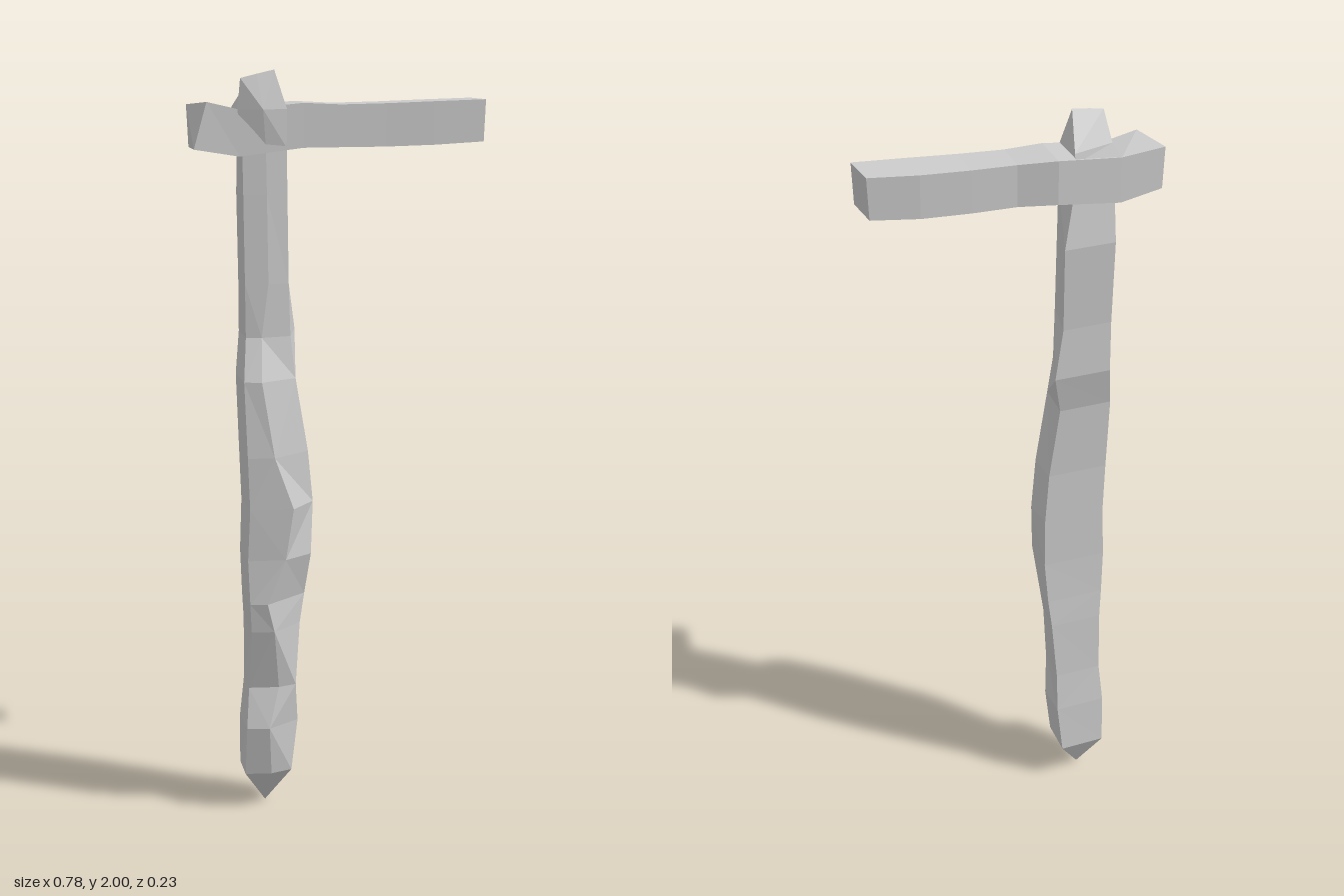
import * as THREE from 'three';

const material = new THREE.MeshStandardMaterial({ color: 0xcccccc, flatShading: true });

// Skin a list of rings (arrays of [x, y, z], counter-clockwise seen from the far end) with closed ends
function loft(name, rings) {
  const pos = [];
  const tri = (a, b, c) => {
    const [A, B, C] = [a, b, c].map((p) => new THREE.Vector3(...p));
    if (B.clone().sub(A).cross(C.clone().sub(A)).length() > 1e-7) pos.push(...a, ...b, ...c);
  };
  const n = rings[0].length;
  for (let i = 0; i < rings.length - 1; i++) {
    for (let j = 0; j < n; j++) {
      const k = (j + 1) % n;
      const a = rings[i][j], b = rings[i][k], c = rings[i + 1][k], d = rings[i + 1][j];
      // alternate the diagonal for a hewn look
      if ((i + j) % 2) { tri(a, b, c); tri(a, c, d); } else { tri(a, b, d); tri(b, c, d); }
    }
  }
  const last = rings[rings.length - 1];
  for (let j = 1; j < n - 1; j++) {
    tri(rings[0][0], rings[0][j + 1], rings[0][j]);
    tri(last[0], last[j], last[j + 1]);
  }
  const geometry = new THREE.BufferGeometry();
  geometry.setAttribute('position', new THREE.Float32BufferAttribute(pos, 3));
  geometry.computeVertexNormals();
  const mesh = new THREE.Mesh(geometry, material);
  mesh.name = name;
  return mesh;
}

// Rough upright: five-sided sections with a front ridge and a right-hand ridge
function makePost() {
  // y, left x, front ridge x, front z, right x, right ridge z, back right x, back z
  const sections = [
    [0.10, -0.27, -0.20, 0.04, -0.14, 0.02, -0.14, -0.09],
    [0.24, -0.27, -0.21, 0.07, -0.12, 0.01, -0.125, -0.085],
    [0.35, -0.26, -0.18, 0.05, -0.13, 0.035, -0.125, -0.075],
    [0.52, -0.26, -0.20, 0.095, -0.115, 0.02, -0.11, -0.07],
    [0.60, -0.265, -0.22, 0.105, -0.10, 0.01, -0.10, -0.065],
    [0.72, -0.27, -0.17, 0.105, -0.09, 0.05, -0.09, -0.06],
    [0.86, -0.265, -0.15, 0.115, -0.08, 0.03, -0.09, -0.06],
    [1.00, -0.27, -0.20, 0.115, -0.095, 0.04, -0.10, -0.06],
    [1.20, -0.275, -0.23, 0.10, -0.13, 0.05, -0.125, -0.07],
    [1.31, -0.26, -0.22, 0.05, -0.14, 0.035, -0.10, -0.10],
    [1.45, -0.26, -0.20, 0.045, -0.145, 0.04, -0.12, -0.10],
    [1.68, -0.26, -0.20, 0.033, -0.145, 0.03, -0.115, -0.117],
    [1.80, -0.26, -0.20, 0.025, -0.145, 0.025, -0.14, -0.10],
    [1.90, -0.275, -0.21, 0.042, -0.145, 0.03, -0.145, -0.10],
  ];
  const rings = sections.map(([y, xl, xm, zf, xr, zr, xb, zb]) => [
    [xl, y, zf - 0.012], [xm, y, zf], [xr, y, zr], [xb, y, zb], [xl + 0.005, y, zb + 0.012],
  ]);
  // sharpened foot and sloping head
  rings.unshift(Array(5).fill([-0.205, 0, -0.03]));
  rings.push([
    [-0.27, 1.98, 0.045], [-0.225, 1.99, 0.032], [-0.175, 2, 0.015],
    [-0.145, 1.925, -0.095], [-0.25, 1.935, -0.075],
  ]);
  return loft('post', rings);
}

// Square crossbeam running along x
function makeBeam() {
  // x, bottom y, top y, back z, front z
  const sections = [
    [-0.27, 1.78, 1.90, -0.092, 0.028],
    [-0.10, 1.80, 1.915, -0.105, 0.025],
    [0.00, 1.80, 1.91, -0.086, 0.025],
    [0.12, 1.80, 1.912, -0.09, 0.027],
    [0.25, 1.803, 1.916, -0.092, 0.03],
  ];
  const rings = sections.map(([x, y0, y1, zb, zf]) => [
    [x, y0, zf], [x, y0, zb], [x, y1, zb], [x, y1, zf],
  ]);
  // skewed ends
  rings.unshift([[-0.39, 1.80, 0.035], [-0.385, 1.80, -0.08], [-0.39, 1.91, -0.08], [-0.355, 1.92, 0.03]]);
  rings.push([[0.385, 1.81, 0.032], [0.375, 1.81, -0.08], [0.38, 1.92, -0.08], [0.39, 1.92, 0.032]]);
  return loft('crossbeam', rings);
}

export function createModel() {
  const group = new THREE.Group();
  group.name = 'woodenSignpost';
  group.add(makePost(), makeBeam());
  return group;
}
